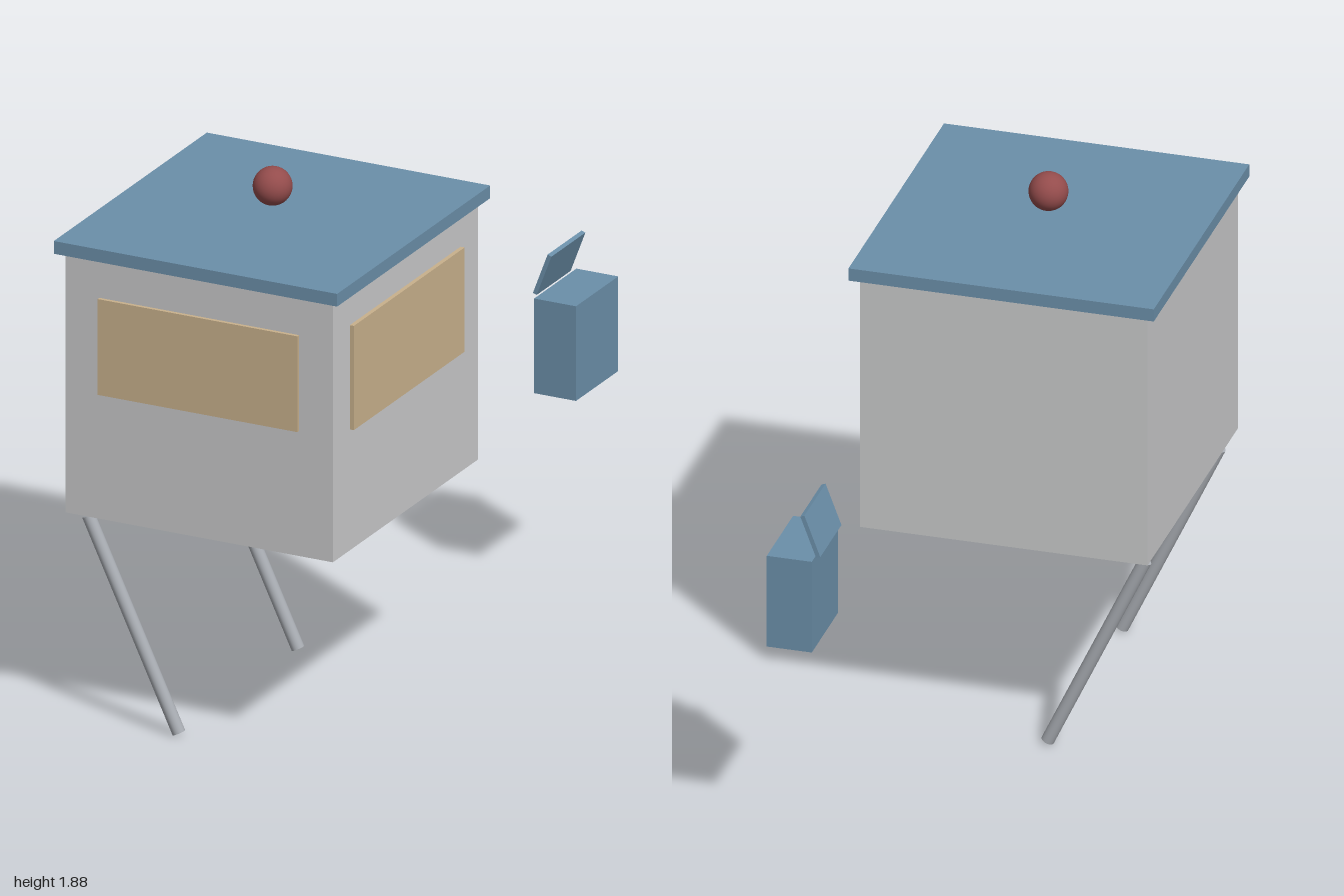
import * as THREE from 'three';

export function createModel() {
  const group = new THREE.Group();
  const mat = (name, color) => {
    const m = new THREE.MeshStandardMaterial({ color });
    m.name = name;
    return m;
  };
  const wallGrey = mat('wall grey', 0xc8c9ca);
  const blue = mat('slate blue', 0x6b8fa9);
  const tan = mat('window tan', 0xc9b18c);
  const legGrey = mat('leg grey', 0xa9adb3);
  const red = mat('ball red', 0x944c4c);

  const add = (name, geometry, material) => {
    const mesh = new THREE.Mesh(geometry, material);
    mesh.name = name;
    group.add(mesh);
    return mesh;
  };
  // Box given by its minimum and maximum on each axis
  const box = (name, material, [x0, x1], [y0, y1], [z0, z1]) => {
    const mesh = add(name, new THREE.BoxGeometry(x1 - x0, y1 - y0, z1 - z0), material);
    mesh.position.set((x0 + x1) / 2, (y0 + y1) / 2, (z0 + z1) / 2);
    return mesh;
  };

  // Cabin with overhanging roof slab
  box('cabin', wallGrey, [-0.505, 0.485], [0.755, 1.675], [-0.075, 0.972]);
  box('roof', blue, [-0.535, 0.515], [1.675, 1.72], [-0.105, 1]);

  // Window panels on the front and left walls
  box('frontWindow', tan, [-0.38, 0.36], [1.198, 1.537], [0.972, 0.985]);
  box('sideWindow', tan, [0.485, 0.5], [1.183, 1.552], [0.05, 0.85]);

  // Ball floating above the roof
  add('ball', new THREE.SphereGeometry(0.066, 32, 20), red).position.set(-0.01, 1.816, 0.443);

  // Two slanted legs
  const top = new THREE.Vector2(-0.468, 0.721);
  const foot = new THREE.Vector2(-0.133, 0.01);
  for (const z of [0.88, 0.02]) {
    const leg = add('leg', new THREE.CylinderGeometry(0.0225, 0.0225, top.distanceTo(foot), 20), legGrey);
    leg.position.set((top.x + foot.x) / 2, (top.y + foot.y) / 2, z);
    leg.rotation.z = Math.atan2(foot.x - top.x, top.y - foot.y);
  }

  // Detached bin behind the cabin, with its lid tipped open
  box('bin', blue, [0.375, 0.53], [0.755, 1.09], [-1, -0.695]);
  const lid = add('binLid', new THREE.BoxGeometry(0.015, 0.155, 0.245), blue);
  lid.position.set(0.389, 1.166, -0.848);
  lid.rotation.z = -0.36;

  return group;
}
